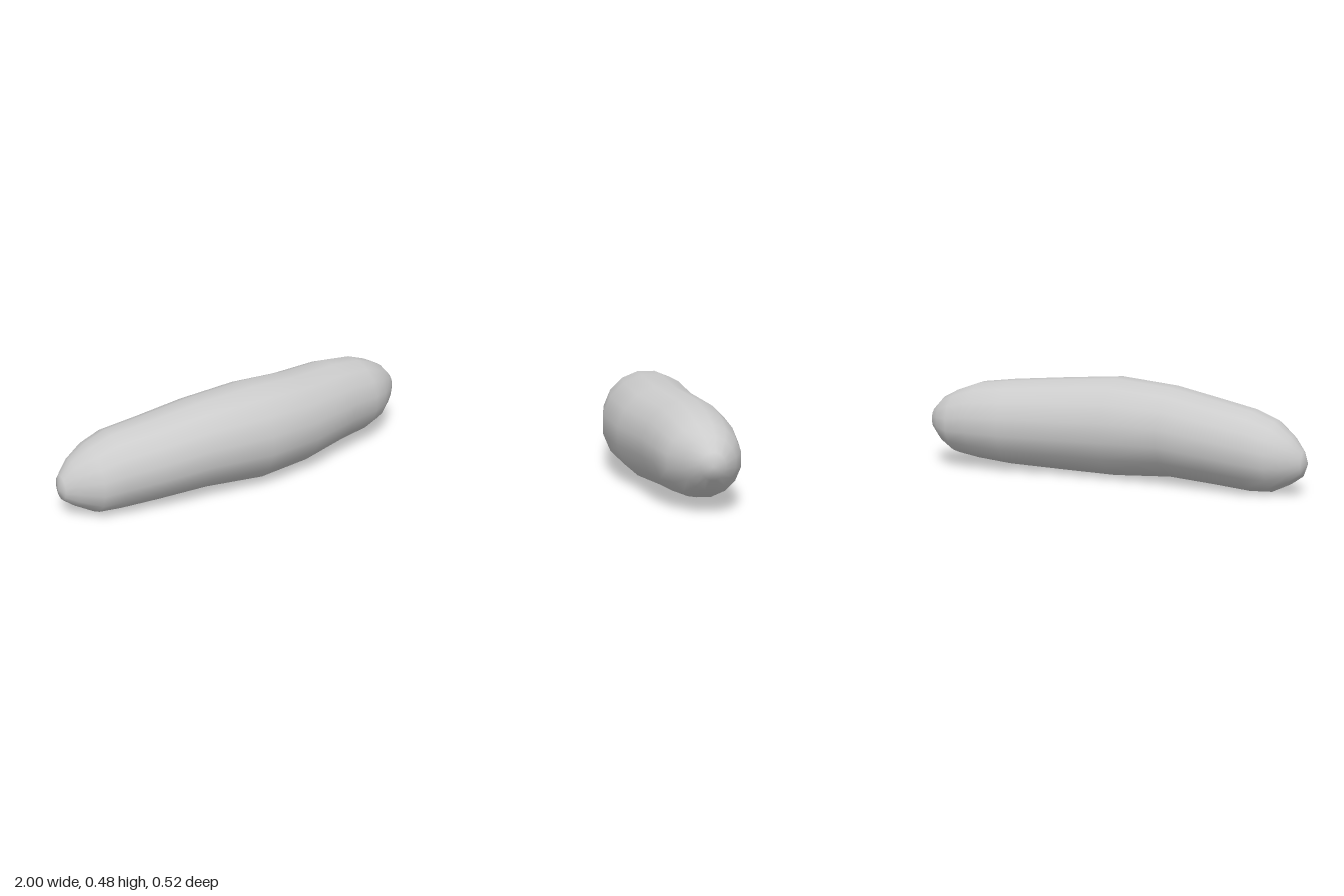
import * as THREE from 'three';
import { mergeVertices } from 'three/addons/utils/BufferGeometryUtils.js';

const SIDES = 16;

// Cross-sections along the body: front x, back x, bottom y, top y, back z, front z
const SECTIONS = [
  [-1.0, -1.0, 0.155, 0.155, -0.085, -0.085],
  [-0.98, -0.98, 0.095, 0.215, -0.145, -0.045],
  [-0.935, -0.915, 0.055, 0.28, -0.197, 0.005],
  [-0.85, -0.83, 0.013, 0.343, -0.238, 0.09],
  [-0.75, -0.72, 0.007, 0.383, -0.255, 0.118],
  [-0.57, -0.53, 0.016, 0.416, -0.24, 0.165],
  [-0.32, -0.3, 0.026, 0.46, -0.223, 0.213],
  [-0.02, 0.0, 0.004, 0.485, -0.223, 0.257],
  [0.28, 0.25, 0.011, 0.467, -0.225, 0.227],
  [0.56, 0.53, 0.029, 0.45, -0.262, 0.156],
  [0.73, 0.71, 0.046, 0.43, -0.255, 0.13],
  [0.825, 0.835, 0.066, 0.39, -0.238, 0.088],
  [0.91, 0.91, 0.115, 0.35, -0.198, 0.03],
  [0.97, 0.97, 0.172, 0.292, -0.14, -0.03],
  [1.0, 1.0, 0.235, 0.235, -0.08, -0.08],
];

// Skin lofted through oval rings, closed by a single point at each tip
function loft(sections) {
  const positions = [];
  const index = [];
  const grow = 1 / Math.cos(Math.PI / SIDES);
  sections.forEach(([xFront, xBack, y0, y1, z0, z1], i) => {
    for (let j = 0; j < SIDES; j++) {
      const a = ((j + 0.5) / SIDES) * Math.PI * 2;
      const c = Math.cos(a) * grow;
      const s = Math.sin(a) * grow;
      positions.push(
        (xFront + xBack) / 2 + (s * (xFront - xBack)) / 2,
        (y0 + y1) / 2 + (c * (y1 - y0)) / 2,
        (z0 + z1) / 2 + (s * (z1 - z0)) / 2
      );
      if (i === sections.length - 1) continue;
      const p = i * SIDES + j;
      const q = i * SIDES + ((j + 1) % SIDES);
      if (i > 0) index.push(p, q, p + SIDES);
      if (i < sections.length - 2) index.push(q, q + SIDES, p + SIDES);
      else continue;
    }
  });
  const geometry = new THREE.BufferGeometry();
  geometry.setAttribute('position', new THREE.Float32BufferAttribute(positions, 3));
  geometry.setIndex(index);
  const merged = mergeVertices(geometry);
  merged.computeVertexNormals();
  return merged;
}

export function createModel() {
  const model = new THREE.Group();
  model.name = 'curvedRoll';
  // Gently bent body with rounded tips
  const body = new THREE.Mesh(loft(SECTIONS), new THREE.MeshStandardMaterial({ color: 0xcccccc }));
  body.name = 'body';
  model.add(body);
  return model;
}
